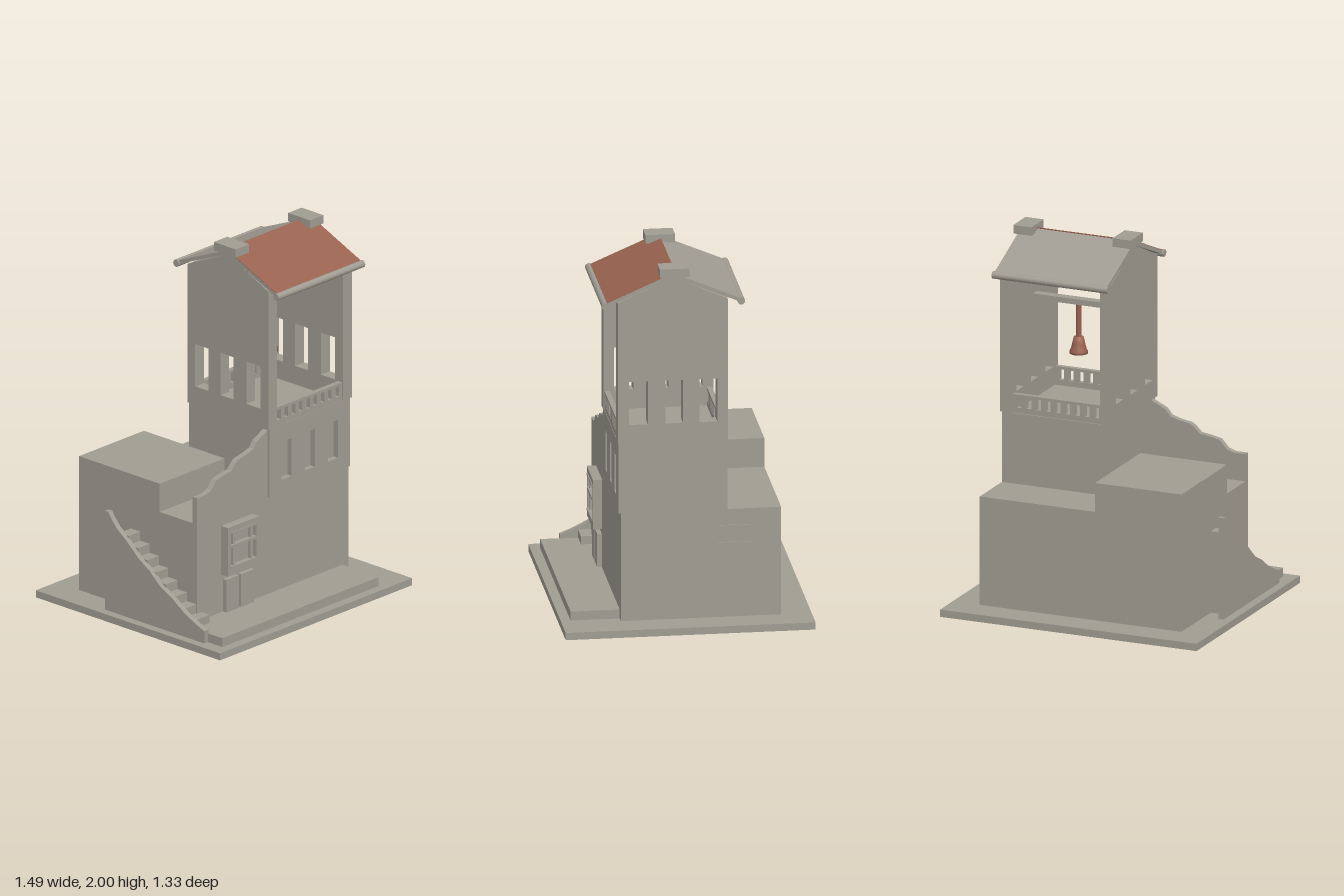
import * as THREE from 'three';

const stone = new THREE.MeshStandardMaterial({ color: 0xa09c92 });
stone.name = 'grey stone';
const clay = new THREE.MeshStandardMaterial({ color: 0x99624f });
clay.name = 'red clay';

export function createModel() {
  const model = new THREE.Group();
  model.name = 'bellTower';

  const add = (name, geometry, material = stone) => {
    const mesh = new THREE.Mesh(geometry, material);
    mesh.name = name;
    model.add(mesh);
    return mesh;
  };
  // Box given by its limits on each axis
  const box = (name, x0, x1, y0, y1, z0, z1, material) => {
    const mesh = add(name, new THREE.BoxGeometry(x1 - x0, y1 - y0, z1 - z0), material);
    mesh.position.set((x0 + x1) / 2, (y0 + y1) / 2, (z0 + z1) / 2);
    return mesh;
  };
  const outline = (points) => points.map(([a, b]) => new THREE.Vector2(a, b));
  const rect = (a0, a1, b0, b1) => [[a0, b0], [a1, b0], [a1, b1], [a0, b1]];
  const slab = (points, holes, depth) => {
    const shape = new THREE.Shape(outline(points));
    holes.forEach((h) => shape.holes.push(new THREE.Path(outline(h))));
    return new THREE.ExtrudeGeometry(shape, { depth, bevelEnabled: false });
  };
  // Outline in x and y, running from z0 to z1
  const frontSlab = (name, points, holes, z0, z1, material) => {
    const mesh = add(name, slab(points, holes, z1 - z0), material);
    mesh.position.z = z0;
    return mesh;
  };
  // Outline in z and y, running from x0 to x1
  const sideSlab = (name, points, holes, x0, x1, material) => {
    const mesh = add(name, slab(points, holes, x1 - x0), material);
    mesh.rotation.y = -Math.PI / 2;
    mesh.position.x = x1;
    return mesh;
  };

  // Ground plate and front terrace
  box('groundPlate', -0.745, 0.742, 0, 0.04, -0.67, 0.663);
  box('terrace', -0.67, 0.54, 0.04, 0.09, 0.34, 0.61);

  // House: low part, higher rear block, broken front wall
  box('houseBody', -0.585, 0.585, 0.04, 0.64, -0.507, 0.348);
  box('rearBlock', -0.585, -0.083, 0.64, 0.8, -0.507, 0.077);
  frontSlab('brokenWall', [
    [-0.585, 0.64], [-0.04, 0.64], [-0.04, 1.02], [-0.09, 0.995], [-0.12, 0.98],
    [-0.15, 0.945], [-0.2, 0.93], [-0.265, 0.918], [-0.285, 0.905], [-0.32, 0.87],
    [-0.38, 0.862], [-0.435, 0.85], [-0.475, 0.805], [-0.52, 0.79], [-0.585, 0.79],
  ], [], 0.315, 0.348);

  // Front window box with recessed panes and bars
  frontSlab('windowFrame', rect(-0.4, -0.157, 0.305, 0.58),
    [rect(-0.377, -0.18, 0.345, 0.55)], 0.348, 0.397);
  box('windowPane', -0.377, -0.18, 0.345, 0.55, 0.348, 0.372);
  for (const x of [-0.347, -0.21]) {
    box('windowUpright', x - 0.008, x + 0.008, 0.345, 0.55, 0.37, 0.392);
  }
  box('windowCrossbar', -0.377, -0.18, 0.46, 0.475, 0.37, 0.4);
  box('windowSill', -0.377, -0.18, 0.345, 0.355, 0.37, 0.402);
  box('windowHead', -0.377, -0.18, 0.54, 0.55, 0.37, 0.402);

  // Double door
  box('doorLeafRight', -0.385, -0.287, 0.09, 0.275, 0.348, 0.373);
  box('doorLeafLeft', -0.272, -0.17, 0.09, 0.275, 0.348, 0.373);

  // Side window: six thin panes
  for (const [z0, z1] of [[-0.207, -0.17], [-0.297, -0.218], [-0.358, -0.308]]) {
    for (const [y0, y1] of [[0.36, 0.457], [0.472, 0.552]]) {
      box('sidePane', 0.584, 0.592, y0, y1, z0, z1);
    }
  }

  // Outside stair with a sloping parapet
  for (let i = 0; i < 8; i++) {
    const z = -0.132 + i * 0.0675;
    box('stairStep', -0.672, i === 7 ? -0.553 : -0.584, 0.04, 0.49 - i * 0.0507, z, z + 0.0675);
  }
  sideSlab('stairParapet', [
    [-0.215, 0.04], [0.505, 0.04], [0.505, 0.11], [0.44, 0.135], [0.36, 0.175], [0.27, 0.235],
    [0.19, 0.275], [0.11, 0.345], [0.03, 0.395], [-0.05, 0.465], [-0.13, 0.525], [-0.17, 0.57],
    [-0.19, 0.6], [-0.215, 0.6],
  ], [], -0.698, -0.667);

  // Tower shaft with three recessed niches
  box('towerShaft', -0.04, 0.585, 0.64, 1.03, -0.222, 0.33);
  frontSlab('towerFront', rect(-0.04, 0.585, 0.64, 1.03),
    [0.055, 0.235, 0.413].map((x) => rect(x, x + 0.078, 0.715, 0.93)), 0.33, 0.36);

  // Belfry gable walls, each with three windows
  const gable = [[-0.222, 1.03], [0.365, 1.03], [0.365, 1.815], [0.07, 1.95], [-0.222, 1.815]];
  const openings = [[0.205, 0.307], [0.018, 0.112], [-0.165, -0.07]]
    .map(([z0, z1]) => rect(z0, z1, 1.135, 1.375));
  sideSlab('gableWall', gable, openings, -0.052, 0.015);
  sideSlab('gableWall', gable, openings, 0.525, 0.595);

  // Pierced railings, front and rear
  const gaps = [];
  for (let i = 0; i < 9; i++) gaps.push(rect(0.024 + i * 0.0562, 0.052 + i * 0.0562, 1.06, 1.118));
  for (const z of [0.33, -0.215]) {
    frontSlab('railing', rect(0.015, 0.525, 1.03, 1.133), gaps, z, z + 0.028);
  }

  // Bell on its beam
  box('bellBeam', 0.015, 0.525, 1.585, 1.615, 0.045, 0.095);
  const rod = add('bellRod', new THREE.CylinderGeometry(0.015, 0.015, 0.19, 8), clay);
  rod.position.set(0.27, 1.49, 0.068);
  const bell = add('bell', new THREE.LatheGeometry(outline([
    [0, 1.335], [0.035, 1.33], [0.04, 1.312], [0.049, 1.312], [0.049, 1.325], [0.042, 1.338],
    [0.034, 1.37], [0.027, 1.402], [0, 1.408],
  ]), 16), clay);
  bell.position.set(0.27, 0, 0.068);

  // Roof: two stone slopes, clay sheet on the front one, rolls along the eaves
  for (const side of [1, -1]) {
    const z = (d) => 0.07 + side * d;
    sideSlab('roofSlope', [[z(0), 1.95], [z(0.36), 1.797], [z(0.36), 1.818], [z(0), 1.973]],
      [], -0.055, 0.598);
    const roll = add('eaveRoll', new THREE.CylinderGeometry(0.02, 0.02, 0.67, 16));
    roll.rotation.z = Math.PI / 2;
    roll.position.set(0.27, 1.804, z(0.362));
  }
  sideSlab('claySheet', [[0.06, 1.974], [0.425, 1.817], [0.425, 1.823], [0.06, 1.98]],
    [], -0.055, 0.598, clay);
  for (const x of [-0.068, 0.507]) box('ridgeCap', x, x + 0.105, 1.953, 2, -0.015, 0.143);

  return model;
}
